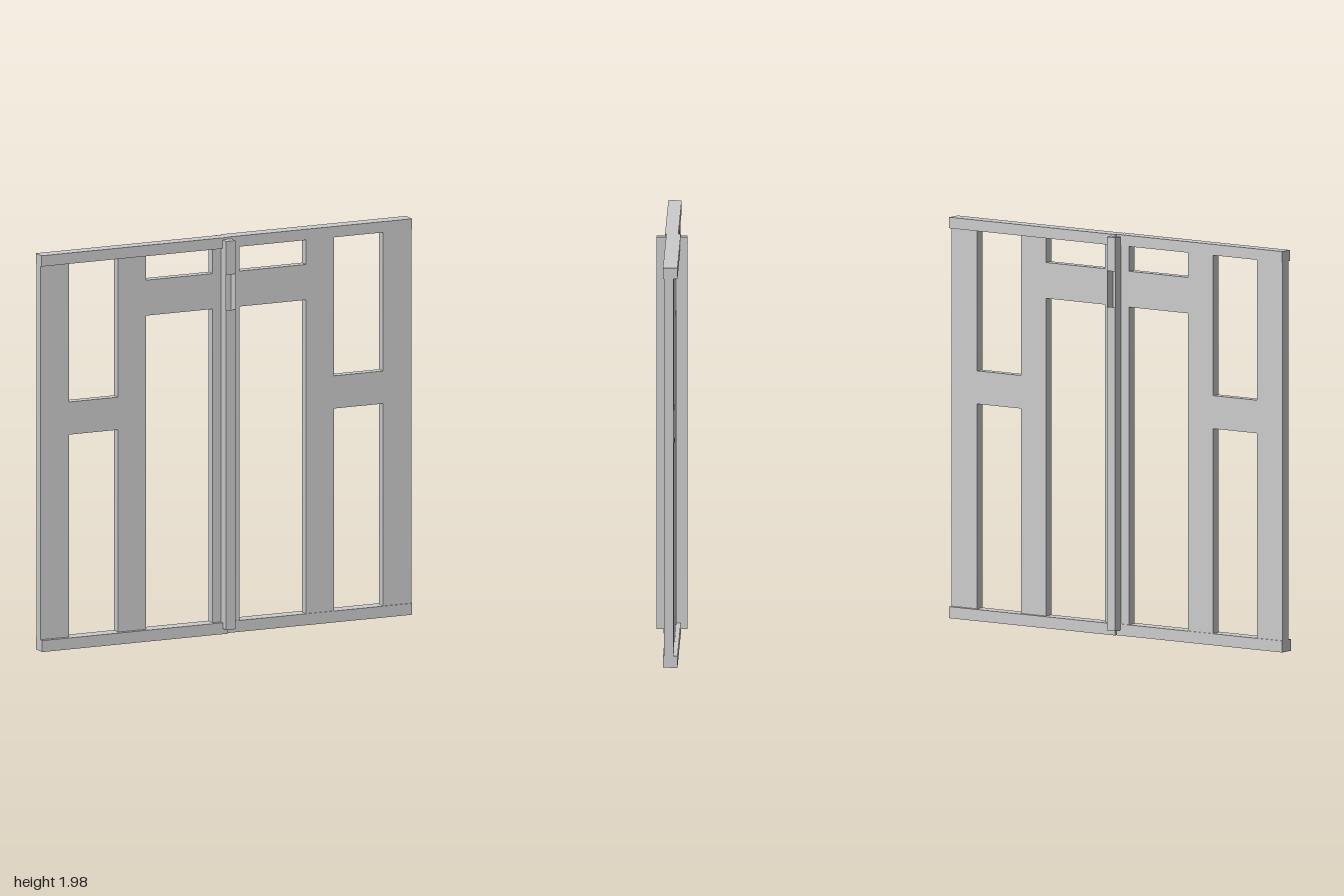
import * as THREE from 'three';

const mat = new THREE.MeshStandardMaterial({ color: 0xcccccc, flatShading: true });
const sheet = new THREE.MeshStandardMaterial({ color: 0xcccccc, flatShading: true, side: THREE.DoubleSide });

// Box given by its limits on each axis
function box(name, x0, x1, y0, y1, z0, z1) {
  const mesh = new THREE.Mesh(new THREE.BoxGeometry(Math.abs(x1 - x0), y1 - y0, z1 - z0), mat);
  mesh.position.set((x0 + x1) / 2, (y0 + y1) / 2, (z0 + z1) / 2);
  mesh.name = name;
  return mesh;
}

// Rectangle on side s (+1 or -1), always counter-clockwise
function rect(path, s, x0, x1, y0, y1) {
  const a = Math.min(s * x0, s * x1), b = Math.max(s * x0, s * x1);
  return path.setFromPoints([
    new THREE.Vector2(a, y0), new THREE.Vector2(b, y0),
    new THREE.Vector2(b, y1), new THREE.Vector2(a, y1)]);
}

// Panel frame with openings, extruded from z0 to z1
function panelFrame(s, z0, z1) {
  const shape = rect(new THREE.Shape(), s, 0, 1, 0.03, 1.95);
  const openings = [
    [0.073, 0.43, 0.04, 1.623], [0.073, 0.43, 1.8, 1.94],
    [0.58, 0.846, 0.04, 1.067], [0.58, 0.846, 1.23, 1.94],
  ];
  for (const o of openings) shape.holes.push(rect(new THREE.Path(), s, ...o));
  const geo = new THREE.ExtrudeGeometry(shape, { depth: z1 - z0, bevelEnabled: false });
  const mesh = new THREE.Mesh(geo, mat);
  mesh.position.z = z0;
  mesh.name = 'panelFrame';
  return mesh;
}

// Flat double-sided sheet
function plate(name, width, height, x, y, z, rx, ry) {
  const mesh = new THREE.Mesh(new THREE.PlaneGeometry(width, height), sheet);
  mesh.position.set(x, y, z);
  mesh.rotation.set(rx, ry, 0);
  mesh.name = name;
  return mesh;
}

export function createModel() {
  const model = new THREE.Group();
  model.name = 'doublePanelFrame';

  // Two leaves: rails overhang the back on one side and the front on the other
  const leaves = [
    { s: 1, name: 'leftLeaf', panel: [-0.023, 0.023], top: [-0.043, 0.028], bottom: [-0.043, 0.028] },
    { s: -1, name: 'rightLeaf', panel: [-0.026, 0.02], top: [-0.031, 0.034], bottom: [-0.031, 0.042] },
  ];
  for (const { s, name, panel, top, bottom } of leaves) {
    const leaf = new THREE.Group();
    leaf.name = name;
    leaf.add(panelFrame(s, ...panel));
    leaf.add(box('topRail', 0, s, 1.923, 1.977, ...top));
    leaf.add(box('bottomRail', 0, s, 0, 0.057, ...bottom));
    model.add(leaf);
  }

  // Hollow centre post, open at front and back level with the crossbars
  const post = new THREE.Group();
  post.name = 'centrePost';
  const w = 0.025, d = 0.076, y0 = 0.027, y1 = 1.967, gap0 = 1.623, gap1 = 1.8;
  for (const s of [-1, 1]) {
    post.add(plate('postSide', 2 * d, y1 - y0, s * w, (y0 + y1) / 2, 0, 0, s * Math.PI / 2));
    const turn = s > 0 ? 0 : Math.PI;
    post.add(plate('postLowerFace', 2 * w, gap0 - y0, 0, (y0 + gap0) / 2, s * d, 0, turn));
    post.add(plate('postUpperFace', 2 * w, y1 - gap1, 0, (gap1 + y1) / 2, s * d, 0, turn));
    post.add(plate('postCap', 2 * w, 2 * d, 0, s > 0 ? y1 : y0, 0, -s * Math.PI / 2, 0));
  }
  model.add(post);
  return model;
}
